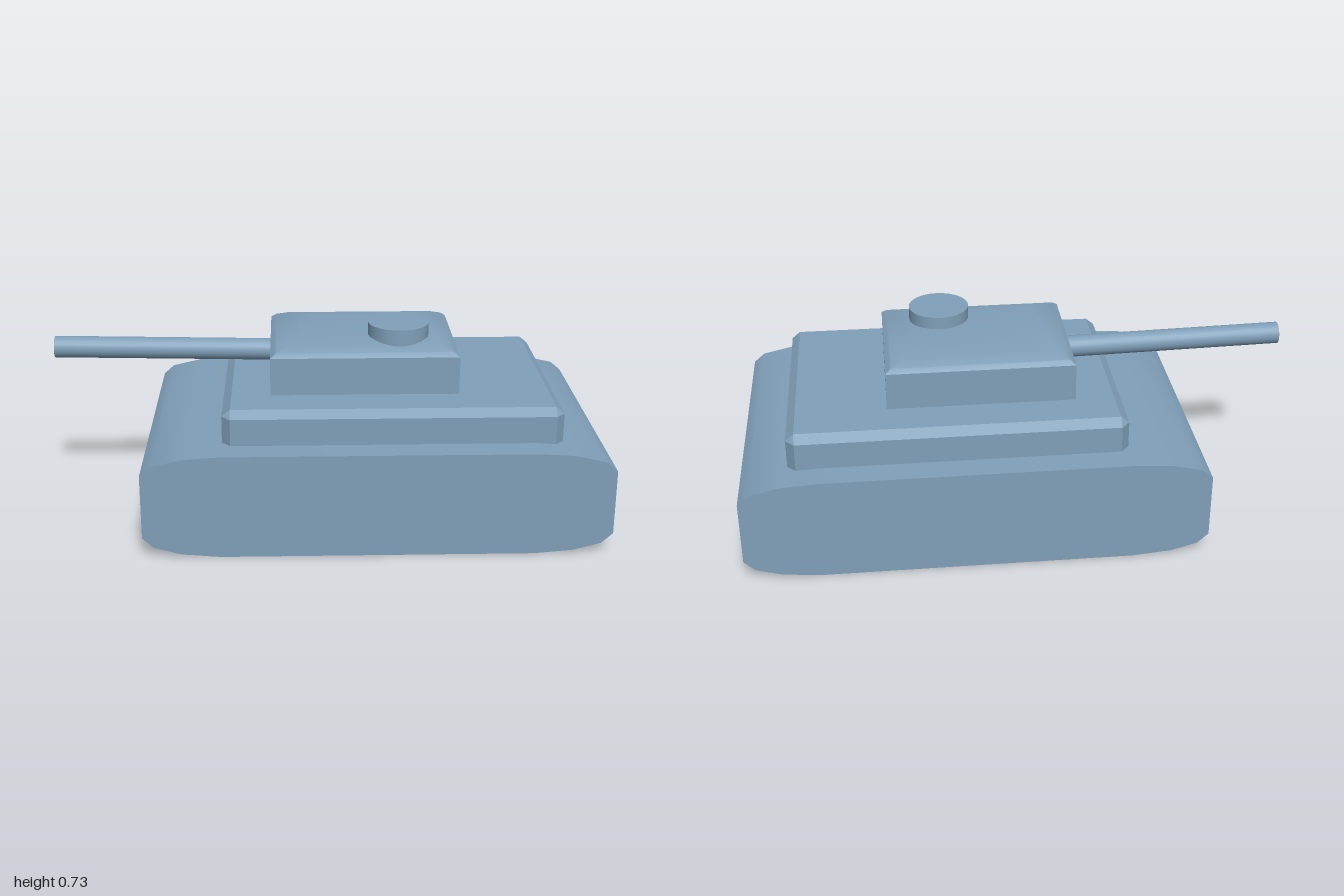
import * as THREE from 'three';
import { toCreasedNormals } from 'three/addons/utils/BufferGeometryUtils.js';
import { ConvexGeometry } from 'three/addons/geometries/ConvexGeometry.js';

export function createModel() {
  const group = new THREE.Group();
  const material = new THREE.MeshStandardMaterial({ color: 0x7f9fb8 });
  const add = (name, geometry) => {
    const mesh = new THREE.Mesh(geometry, material);
    mesh.name = name;
    group.add(mesh);
    return mesh;
  };

  // Hull: a side profile, mirrored end to end, extruded across the width
  const middle = 0.175;
  const half = [[0.55, 0], [0.69, 0.012], [0.785, 0.038], [0.825, 0.075],
    [0.825, 0.31], [0.785, 0.345], [0.675, 0.37], [0.55, 0.378]];
  const profile = [
    ...half.map(([x, y]) => new THREE.Vector2(middle + x, y)),
    ...half.map(([x, y]) => new THREE.Vector2(middle - x, y)).reverse(),
  ];
  const hull = new THREE.ExtrudeGeometry(new THREE.Shape(profile), { depth: 1.074, bevelEnabled: false });
  hull.translate(0, 0, -0.537);
  add('hull', toCreasedNormals(hull, 0.6));

  // Superstructure: a box with chamfered upright corners and top edges
  const deck = [];
  for (const sx of [-1, 1]) {
    for (const sz of [-1, 1]) {
      const point = (x, y, z) => deck.push(new THREE.Vector3(0.23 + sx * x, y, sz * z));
      for (const y of [0.36, 0.475]) {
        point(0.6, y, 0.402);
        point(0.57, y, 0.436);
      }
      point(0.57, 0.5, 0.402);
    }
  }
  add('superstructure', new ConvexGeometry(deck));

  // Turret: rectangular rings [y, inset] that draw in towards a rounded roof
  const rings = [[0.49, 0], [0.637, 0], [0.652, 0.02], [0.669, 0.065], [0.677, 0.11], [0.68, 0.16]];
  const corners = [[-1, 1], [1, 1], [1, -1], [-1, -1]];
  const positions = [];
  const index = [];
  for (const [y, inset] of rings) {
    for (const [sx, sz] of corners) {
      positions.push(0.138 + sx * (0.338 - inset), y, sz * (0.26 - inset * 0.8));
    }
  }
  for (let r = 0; r < rings.length - 1; r++) {
    for (let i = 0; i < 4; i++) {
      const a = r * 4 + i;
      const b = r * 4 + (i + 1) % 4;
      index.push(a, b, b + 4, a, b + 4, a + 4);
    }
  }
  const top = (rings.length - 1) * 4;
  index.push(top, top + 1, top + 2, top, top + 2, top + 3, 0, 2, 1, 0, 3, 2);
  const turret = new THREE.BufferGeometry();
  turret.setAttribute('position', new THREE.Float32BufferAttribute(positions, 3));
  turret.setIndex(index);
  add('turret', toCreasedNormals(turret, 0.7));

  // Commander's hatch
  const hatch = add('hatch', new THREE.CylinderGeometry(0.11, 0.11, 0.085, 32));
  hatch.position.set(0.265, 0.6825, 0.107);

  // Gun barrel, slightly raised and running into the turret
  const muzzle = new THREE.Vector3(-0.999, 0.603, -0.007);
  const breech = new THREE.Vector3(-0.1, 0.585, -0.007);
  const axis = muzzle.clone().sub(breech);
  const barrel = add('barrel', new THREE.CylinderGeometry(0.04, 0.04, axis.length(), 24));
  barrel.position.copy(muzzle).add(breech).multiplyScalar(0.5);
  barrel.quaternion.setFromUnitVectors(new THREE.Vector3(0, 1, 0), axis.normalize());

  return group;
}
